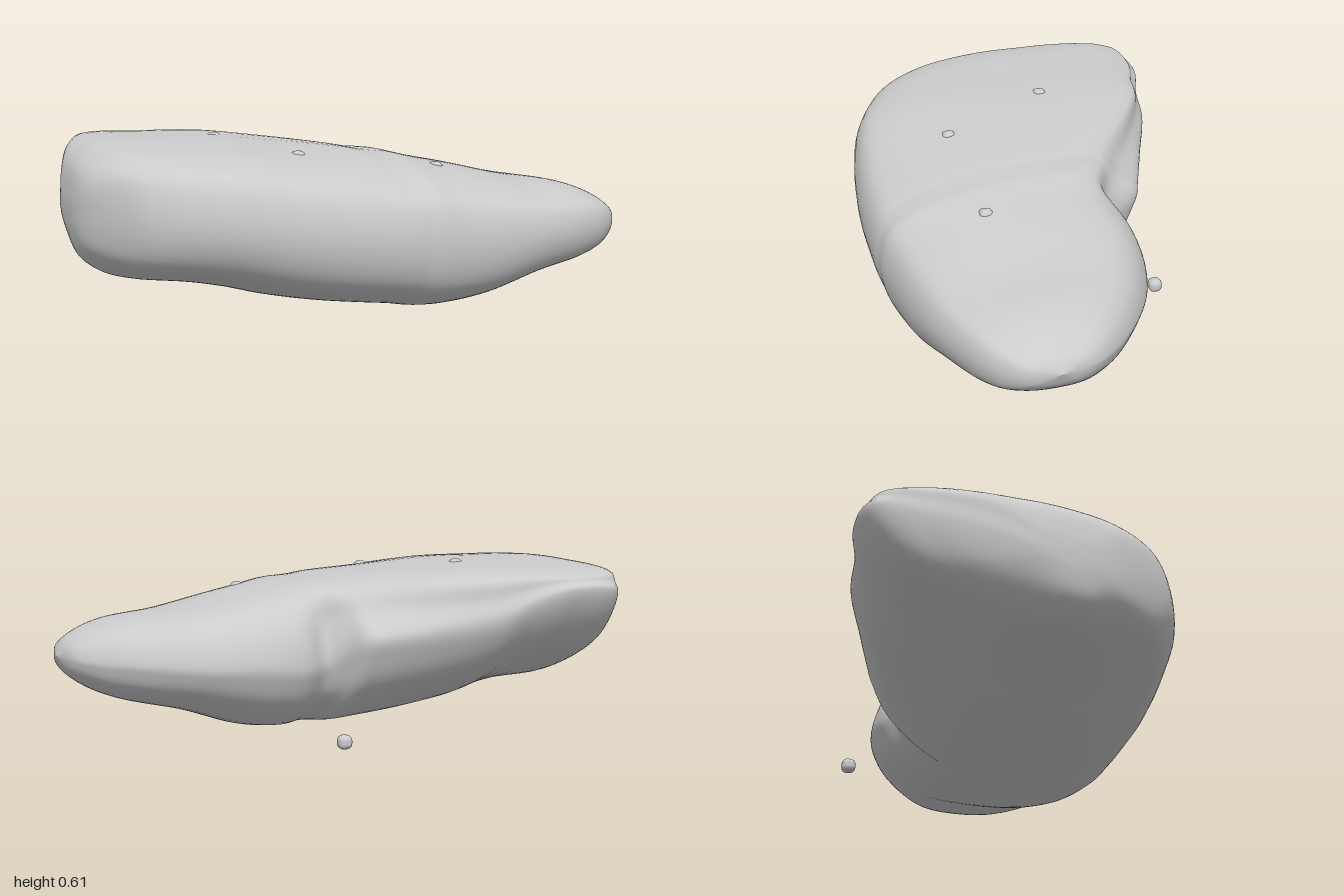
import * as THREE from 'three';
import { RoundedBoxGeometry } from 'three/addons/geometries/RoundedBoxGeometry.js';

// Stations along x: [x, top y, bottom y, front z, ridge z, back z, back y]
const stations = [
  [-0.995, 0.44, 0.30, 0.10, -0.12, -0.14, 0.38],
  [-0.97, 0.53, 0.22, 0.19, -0.22, -0.25, 0.42],
  [-0.90, 0.59, 0.165, 0.32, -0.43, -0.46, 0.48],
  [-0.81, 0.61, 0.14, 0.43, -0.585, -0.62, 0.53],
  [-0.62, 0.61, 0.125, 0.54, -0.595, -0.63, 0.54],
  [-0.50, 0.61, 0.105, 0.575, -0.555, -0.59, 0.50],
  [-0.38, 0.605, 0.075, 0.60, -0.525, -0.57, 0.45],
  [-0.20, 0.59, 0.045, 0.625, -0.41, -0.49, 0.41],
  [0.00, 0.57, 0.025, 0.635, -0.25, -0.40, 0.38],
  [0.06, 0.56, 0.02, 0.635, -0.22, -0.37, 0.37],
  [0.11, 0.555, 0.015, 0.63, -0.20, -0.285, 0.33],
  [0.16, 0.55, 0.012, 0.63, -0.17, -0.24, 0.28],
  [0.25, 0.53, 0.01, 0.62, -0.14, -0.27, 0.27],
  [0.40, 0.50, 0.03, 0.60, -0.13, -0.265, 0.28],
  [0.60, 0.455, 0.095, 0.56, -0.08, -0.20, 0.28],
  [0.80, 0.425, 0.14, 0.495, 0.05, -0.07, 0.29],
  [0.90, 0.39, 0.18, 0.44, 0.11, 0.025, 0.29],
  [0.97, 0.345, 0.235, 0.365, 0.17, 0.12, 0.295],
];
const AROUND = 80;
const STEPS = 6;
const { lerp: mix, clamp } = THREE.MathUtils;

// One closed cross-section, from the back ridge over the top and round underneath
function section([x, top, bottom, front, ridge, back, backY]) {
  const w = front - back, h = top - bottom;
  const frontY = mix(bottom, top, 0.46);
  const ridgeY = top - 0.06 * h;
  // The thick lobe has a squarer front shoulder and a shorter flat underside
  const square = clamp(-2 * x - 0.2, 0, 1);
  const under = mix(back, front, clamp(0.28 - 0.25 * x, 0.23, 0.46));
  // The back wall is hollow on the thick lobe and convex on the thin one
  const hollow = clamp((0.22 - x) / 0.1, 0, 1);
  const points = [
    [ridge, ridgeY],
    [mix(ridge, front, 0.35), top],
    [mix(ridge, front, 0.62), top - mix(0.035, 0.012, square) * h],
    [front - 0.14 * w, top - mix(0.13, 0.085, square) * h],
    [front - 0.035 * w, mix(frontY, top, mix(0.52, 0.62, square))],
    [front, frontY],
    [front - 0.05 * w, mix(bottom, frontY, 0.42)],
    [front - 0.2 * w, bottom + 0.06 * h],
    [mix(front, under, 0.6), bottom],
    [under, bottom + 0.05 * h],
    [mix(under, back, 0.7), mix(bottom, backY, 0.46)],
    [mix(under, back, 0.93), mix(bottom, backY, 0.77)],
    [back, backY],
    [mix(back, ridge, mix(0.32, 0.55, hollow)), mix(backY, ridgeY, mix(0.62, 0.5, hollow))],
  ].map(([z, y]) => new THREE.Vector3(x, y, z));
  const curve = new THREE.CatmullRomCurve3(points, true, 'centripetal');
  return Array.from({ length: AROUND }, (_, i) => curve.getPoint(i / AROUND));
}

// Skin the sections with smooth lengthwise curves, closed by a pole at each end
function bodyGeometry() {
  const rings = stations.map(section);
  const pole = (x, y, z) => Array.from({ length: AROUND }, () => new THREE.Vector3(x, y, z));
  rings.unshift(pole(-1, 0.37, -0.02));
  rings.push(pole(1, 0.295, 0.25));
  const rows = (rings.length - 1) * STEPS;
  const lines = rings[0].map((_, j) =>
    new THREE.CatmullRomCurve3(rings.map((ring) => ring[j]), false, 'centripetal'));
  const positions = [], index = [];
  for (let i = 0; i <= rows; i++) {
    for (let j = 0; j < AROUND; j++) {
      positions.push(...lines[j].getPoint(i / rows).toArray());
      if (i === rows) continue;
      const a = i * AROUND + j, b = i * AROUND + (j + 1) % AROUND;
      index.push(a, b, a + AROUND, b, b + AROUND, a + AROUND);
    }
  }
  const geometry = new THREE.BufferGeometry();
  geometry.setAttribute('position', new THREE.Float32BufferAttribute(positions, 3));
  geometry.setIndex(index);
  geometry.computeVertexNormals();
  return geometry;
}

export function createModel() {
  const group = new THREE.Group();
  group.name = 'liver';
  const material = new THREE.MeshStandardMaterial({ color: 0xcccccc });

  const body = new THREE.Mesh(bodyGeometry(), material);
  body.name = 'liverBody';
  group.add(body);

  // Small rounded markers: three sunk into the top, one loose below the back
  const markerGeometry = new RoundedBoxGeometry(0.05, 0.05, 0.05, 3, 0.02);
  const addMarker = (name, x, y, z) => {
    const marker = new THREE.Mesh(markerGeometry, material);
    marker.name = name;
    marker.position.set(x, y, z);
    group.add(marker);
  };
  const down = new THREE.Vector3(0, -1, 0);
  [[-0.42, -0.15], [-0.24, 0.265], [0.28, 0.28]].forEach(([x, z], i) => {
    const ray = new THREE.Raycaster(new THREE.Vector3(x, 2, z), down);
    const surfaceY = ray.intersectObject(body)[0].point.y;
    addMarker(`topMarker${i + 1}`, x, surfaceY - 0.016, z);
  });
  addMarker('looseMarker', 0.18, 0.027, -0.41);
  return group;
}
